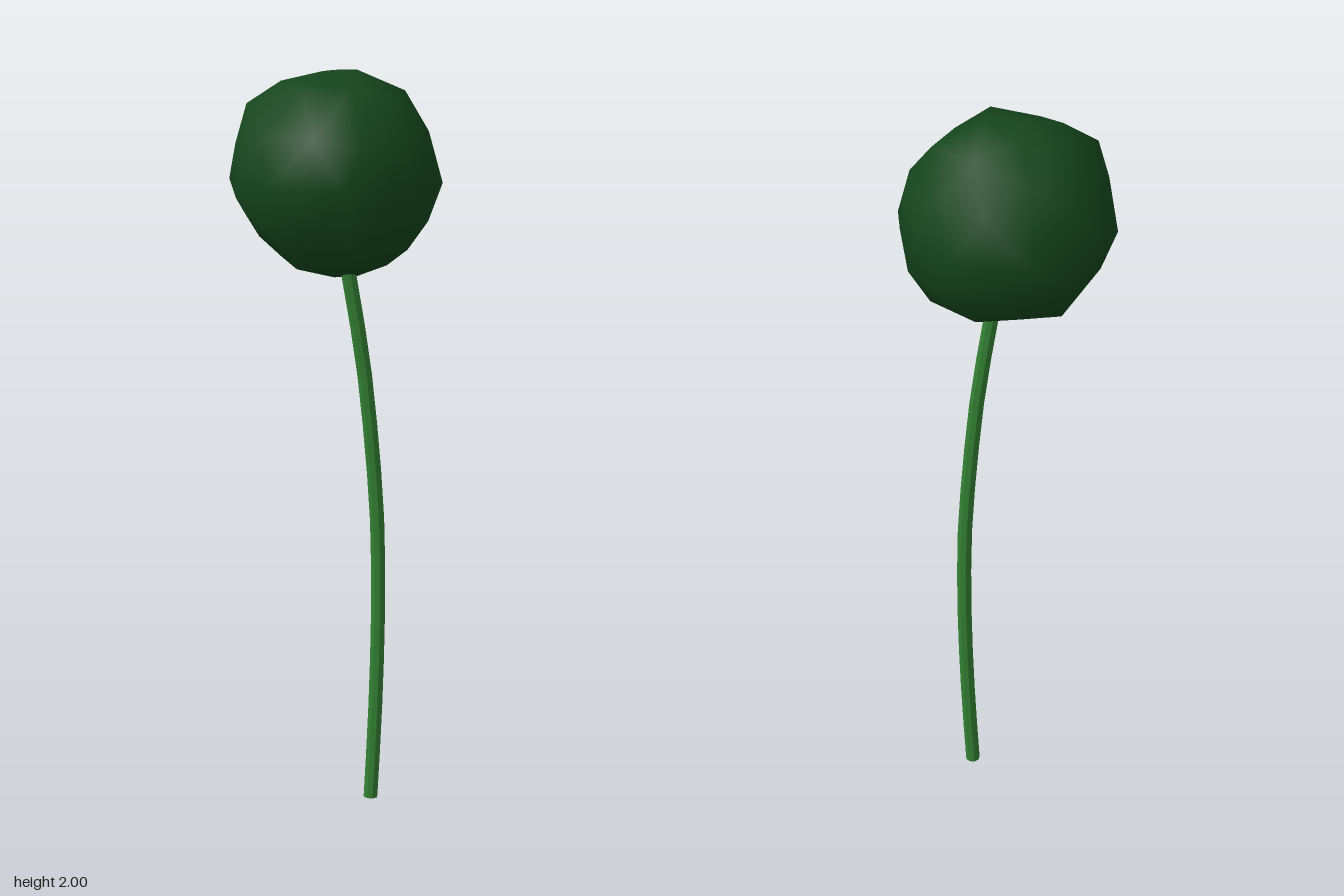
import * as THREE from 'three';
import { ConvexGeometry } from 'three/addons/geometries/ConvexGeometry.js';

const CENTER_Y = 1.73;

// Lumpy ball: three outline rings plus points filling each octant, hulled
function createBall(material) {
  const frontRing = [[-0.26, -0.05], [-0.26, 0.09], [-0.23, 0.19], [-0.14, 0.245], [0, 0.27], [0.06, 0.27], [0.19, 0.215],
    [0.255, 0.11], [0.255, -0.11], [0.2, -0.2], [0.06, -0.265], [-0.1, -0.24], [-0.2, -0.15]];
  const sideRing = [[0.28, -0.03], [0.265, 0.09], [0.18, 0.23], [-0.12, 0.26], [-0.21, 0.18], [-0.25, 0.09],
    [-0.2, -0.15], [-0.13, -0.21], [0, -0.265], [0.2, -0.2]];
  const topRing = [[0.005, -0.285], [0.11, -0.215], [0.19, -0.18], [0.25, -0.065], [0.265, 0.04], [0.25, 0.14], [0.16, 0.23],
    [0.065, 0.283], [-0.045, 0.283], [-0.14, 0.22], [-0.215, 0.16], [-0.265, 0.04], [-0.255, -0.105], [-0.205, -0.17]];
  const points = [
    ...frontRing.map(([x, y]) => new THREE.Vector3(x, y, 0)),
    ...sideRing.map(([z, y]) => new THREE.Vector3(0, y, z)),
    ...topRing.map(([x, z]) => new THREE.Vector3(x, -0.01, z)),
  ];
  let seed = 7;
  const random = () => (seed = (seed * 16807) % 2147483647) / 2147483647;
  for (const sx of [-1, 1]) for (const sy of [-1, 1]) for (const sz of [-1, 1]) {
    for (const [x, y, z] of [[2, 1, 1], [1, 2, 1], [1, 1, 2]]) {
      points.push(new THREE.Vector3(sx * x, sy * y, sz * z).setLength(0.26 + 0.016 * random()));
    }
  }
  const geometry = new ConvexGeometry(points);

  // Radial normals give the rounded shading across the facets
  const position = geometry.attributes.position;
  const normal = geometry.attributes.normal;
  const v = new THREE.Vector3();
  for (let i = 0; i < position.count; i++) {
    v.fromBufferAttribute(position, i).normalize();
    normal.setXYZ(i, v.x, v.y, v.z);
  }
  const ball = new THREE.Mesh(geometry, material);
  ball.name = 'flowerHead';
  ball.position.y = CENTER_Y;
  return ball;
}

// Slender bowed stalk, closed at the foot
function createStem(material) {
  const stem = new THREE.Group();
  stem.name = 'stem';
  const radius = 0.02;
  const path = new THREE.CatmullRomCurve3(
    [[0.1, 0], [0.112, 0.25], [0.119, 0.55], [0.115, 0.8], [0.1, 1.0], [0.075, 1.23], [0.035, 1.47], [0.01, 1.6]]
      .map(([x, y]) => new THREE.Vector3(x, y, 0.02)));
  const stalk = new THREE.Mesh(new THREE.TubeGeometry(path, 12, radius, 8), material);
  stalk.name = 'stalk';
  const foot = new THREE.Mesh(new THREE.CircleGeometry(radius, 8), material);
  foot.name = 'stalkFoot';
  foot.rotation.x = Math.PI / 2;
  foot.position.set(0.1, 0, 0.02);
  stem.add(stalk, foot);
  return stem;
}

export function createModel() {
  const model = new THREE.Group();
  model.name = 'ballPlant';
  const headMaterial = new THREE.MeshStandardMaterial({ color: 0x15451c });
  const stemMaterial = new THREE.MeshStandardMaterial({ color: 0x338033, flatShading: true });
  model.add(createBall(headMaterial), createStem(stemMaterial));
  return model;
}
